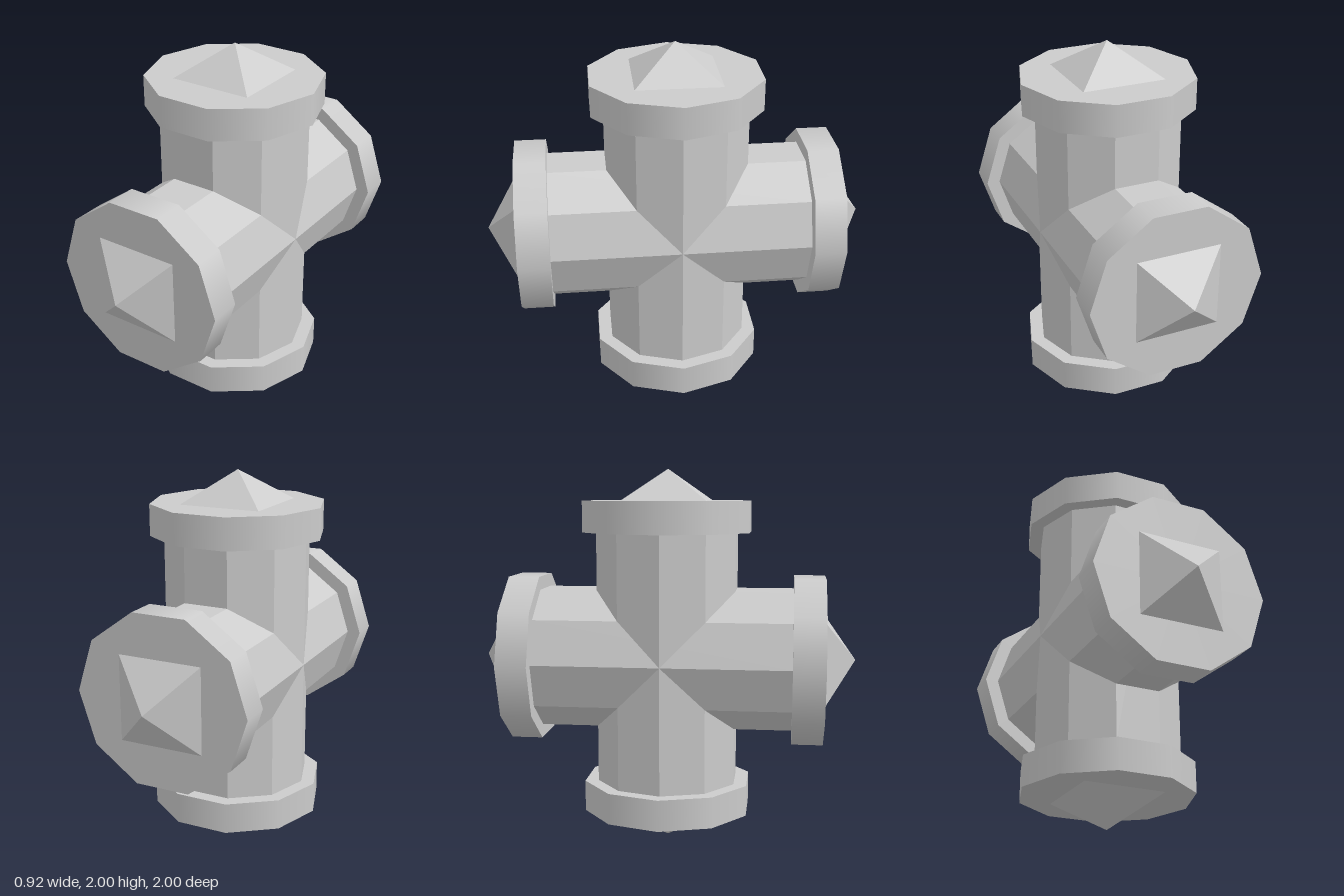
import * as THREE from 'three';

const SIDES = 10;
const smooth = new THREE.MeshStandardMaterial({ color: 0xcccccc });
const faceted = new THREE.MeshStandardMaterial({ color: 0xcccccc, flatShading: true });

// Ten-sided prism along y with a corner pointing to +x and -x
function prism(radius, height, openEnded) {
  return new THREE.CylinderGeometry(radius, radius, height, SIDES, 1, openEnded, Math.PI / 2);
}

function addMesh(parent, name, geometry, material, y = 0) {
  const mesh = new THREE.Mesh(geometry, material);
  mesh.name = name;
  mesh.position.y = y;
  parent.add(mesh);
  return mesh;
}

// One straight pipe with a flange and a pyramid point at each end
function createPipe(name) {
  const pipe = new THREE.Group();
  pipe.name = name;
  addMesh(pipe, 'tube', prism(0.385, 1.34, true), faceted);

  for (const side of [1, -1]) {
    const end = new THREE.Group();
    end.name = side > 0 ? 'firstEnd' : 'secondEnd';
    end.rotation.x = side > 0 ? 0 : Math.PI;
    addMesh(end, 'flange', prism(0.458, 0.165, false), smooth, 0.7525);
    const point = new THREE.ConeGeometry(0.22 * Math.SQRT2, 0.165, 4, 1, true, Math.PI / 4);
    addMesh(end, 'pyramidPoint', point, faceted, 0.9175);
    pipe.add(end);
  }
  return pipe;
}

export function createModel() {
  const model = new THREE.Group();
  model.name = 'crossPipe';

  // Upright pipe and the same pipe laid from front to back
  const upright = createPipe('uprightPipe');
  const level = createPipe('levelPipe');
  level.rotation.x = Math.PI / 2;
  for (const pipe of [upright, level]) {
    pipe.position.y = 1;
    model.add(pipe);
  }
  return model;
}
